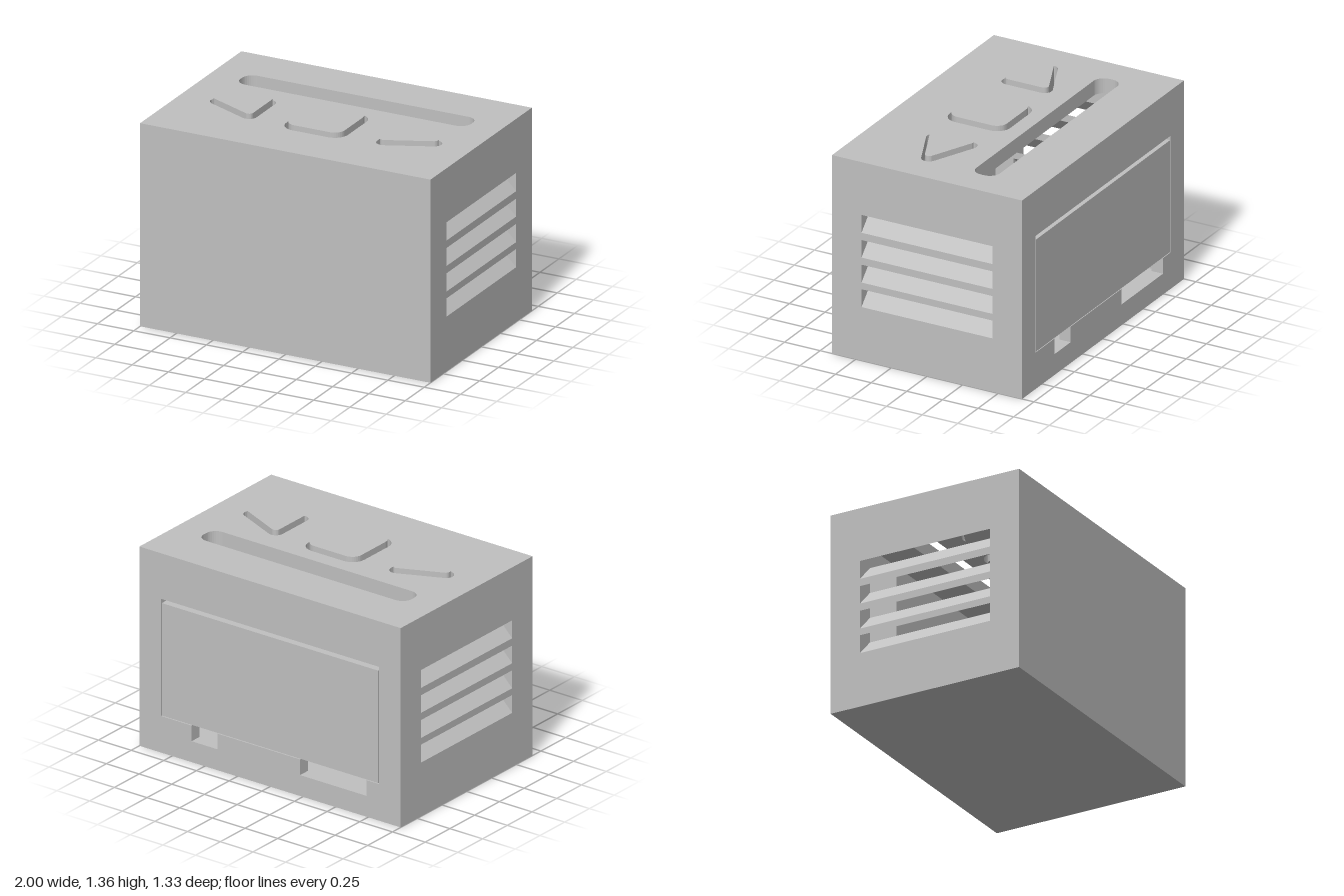
import * as THREE from 'three';

const W = 1, D = 0.667, H = 1.335; // half width, half depth, height
const T = 0.08, ROOF = 0.1, SIDE = 0.12; // wall thicknesses

// Polygon with every corner rounded by radius r (0 keeps it sharp)
function roundedPoly(pts, r, PathType = THREE.Shape) {
  const out = [];
  pts.forEach((p, i) => {
    const c = new THREE.Vector2(...p);
    if (!r) { out.push(c); return; }
    const a = new THREE.Vector2(...pts[(i + pts.length - 1) % pts.length]).sub(c).normalize();
    const b = new THREE.Vector2(...pts[(i + 1) % pts.length]).sub(c).normalize();
    const half = Math.acos(a.dot(b)) / 2;
    const centre = c.clone().add(a.clone().add(b).normalize().multiplyScalar(r / Math.sin(half)));
    const start = c.clone().addScaledVector(a, r / Math.tan(half)).sub(centre);
    const end = c.clone().addScaledVector(b, r / Math.tan(half)).sub(centre);
    const sweep = Math.atan2(start.cross(end), start.dot(end));
    for (let k = 0; k <= 8; k++) {
      out.push(start.clone().rotateAround(new THREE.Vector2(), sweep * k / 8).add(centre));
    }
  });
  return new PathType(out);
}

const rect = (x0, y0, x1, y1) => [[x0, y0], [x1, y0], [x1, y1], [x0, y1]];

export function createModel() {
  const model = new THREE.Group();
  model.name = 'desktopPlayer';
  const grey = new THREE.MeshStandardMaterial({ color: 0xc0c0c0 });
  grey.name = 'plain grey';

  const add = (name, geometry, parent = model) => {
    const mesh = new THREE.Mesh(geometry, grey);
    mesh.name = name;
    parent.add(mesh);
    return mesh;
  };
  const box = (name, x0, x1, y0, y1, z0, z1, parent) => {
    const mesh = add(name, new THREE.BoxGeometry(x1 - x0, y1 - y0, z1 - z0), parent);
    mesh.position.set((x0 + x1) / 2, (y0 + y1) / 2, (z0 + z1) / 2);
    return mesh;
  };
  const extrude = (shape, depth) =>
    new THREE.ExtrudeGeometry(shape, { depth, bevelEnabled: false });
  // Lays a plan drawn in x and -z flat, from y0 up to y1
  const slab = (name, shape, y0, y1) =>
    add(name, extrude(shape, y1 - y0).rotateX(-Math.PI / 2).translate(0, y0, 0));

  // Plan outlines of the three buttons, inset by d from their holes
  const square = (d) => rect(-0.213 + d, -0.34 + d, 0.213 - d, 0.085 - d);
  const triangle = (s, d) => {
    const left = 0.415 + d, tip = 0.868 - d / 0.402, h = (tip - left) * 0.44;
    return [[s * left, -0.13 - h], [s * tip, -0.13], [s * left, -0.13 + h]];
  };

  // Casing: floor, front wall and roof with openings
  box('floor', -W, W, 0, T, -D, D);
  box('frontWall', -W, W, T, H - ROOF, D - T, D);
  const roof = roundedPoly(rect(-W, -D, W, D), 0);
  roof.holes.push(
    roundedPoly(rect(-0.795, 0.19, 0.795, 0.355), 0.07, THREE.Path),
    roundedPoly(square(0), 0.09, THREE.Path),
    roundedPoly(triangle(1, 0), 0.05, THREE.Path),
    roundedPoly(triangle(-1, 0), 0.05, THREE.Path)
  );
  slab('roof', roof, H - ROOF, H);

  // Buttons standing a little proud of the roof
  const low = H - 0.13, high = 1.36;
  slab('centreButton', roundedPoly(square(0.023), 0.068), low, high);
  slab('leftButton', roundedPoly(triangle(1, 0.023), 0.027), low, high);
  slab('rightButton', roundedPoly(triangle(-1, 0.023), 0.027), low, high);

  // Back wall: hatch opening with two port notches along its lower edge
  const back = roundedPoly(rect(-W, T, W, H - ROOF), 0);
  back.holes.push(roundedPoly([
    [-0.835, 0.245], [-0.74, 0.245], [-0.74, 0.14], [-0.23, 0.14], [-0.23, 0.245],
    [0.4, 0.245], [0.4, 0.14], [0.6, 0.14], [0.6, 0.245],
    [0.835, 0.245], [0.835, 1.03], [-0.835, 1.03]
  ], 0, THREE.Path));
  add('backWall', extrude(back, T)).position.z = -D;
  box('backHatch', -0.828, 0.828, 0.25, 1.003, -D, -D + 0.05);
  box('compartment', -0.78, 0.78, 0.26, 1.0, -D + 0.05, -0.33);

  // Side walls with four louvred vents that slope upwards to the inside
  const vents = [[0.36, 0.48], [0.525, 0.645], [0.693, 0.811], [0.86, 0.98]];
  const end = 0.46, rise = 0.12, inner = W - SIDE;
  for (const [name, turn] of [['leftWall', 0], ['rightWall', Math.PI]]) {
    const wall = new THREE.Group();
    wall.name = name;
    wall.rotation.y = turn;
    model.add(wall);
    box('wallEnd', inner, W, T, H - ROOF, end, D - T, wall);
    box('wallEnd', inner, W, T, H - ROOF, -D + T, -end, wall);
    for (let i = 0; i <= vents.length; i++) {
      const first = i === 0, last = i === vents.length;
      const y0 = first ? T : vents[i - 1][1];
      const y1 = last ? H - ROOF : vents[i][0];
      const profile = roundedPoly([
        [inner, first ? y0 : y0 + rise], [W, y0],
        [W, y1], [inner, last ? y1 : y1 + rise]
      ], 0);
      add('louvre', extrude(profile, 2 * end), wall).position.z = -end;
    }
  }
  return model;
}
